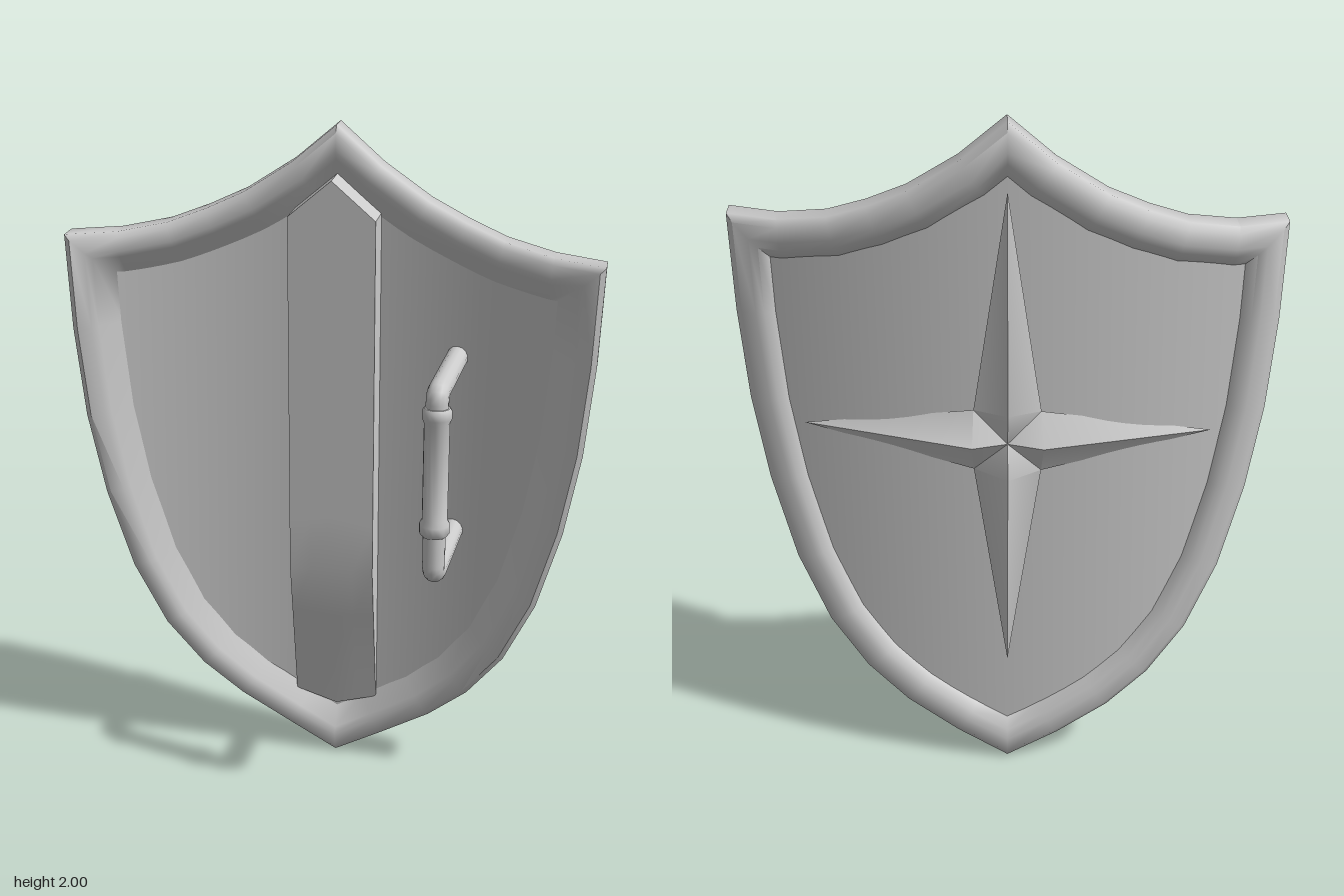
import * as THREE from 'three';
import { toCreasedNormals } from 'three/addons/utils/BufferGeometryUtils.js';

const material = new THREE.MeshStandardMaterial({ color: 0xcccccc, side: THREE.DoubleSide });

// Depth of the curved shield at a given x (bowed to the back, slightly twisted)
const bend = (x) => -0.168 + 0.28 * x * x + 0.062 * x;

// Left half of the outline from top peak to bottom point
const half = [
  [0, 2], [0.13, 1.89], [0.27, 1.8], [0.38, 1.75], [0.49, 1.71], [0.63, 1.685], [0.773, 1.682],
  [0.762, 1.4], [0.737, 1.13], [0.692, 0.88], [0.622, 0.63], [0.53, 0.43], [0.42, 0.285],
  [0.3, 0.18], [0.15, 0.085], [0, 0],
];
// Counter-clockwise seen from the front
const outline = [
  ...half.map(([x, y]) => new THREE.Vector2(-x, y)),
  ...half.slice(1, -1).reverse().map(([x, y]) => new THREE.Vector2(x, y)),
];

// Moves the outline inward by d with mitred corners
function inset(d) {
  const n = outline.length;
  return outline.map((p, i) => {
    const a = p.clone().sub(outline[(i + n - 1) % n]).normalize();
    const b = outline[(i + 1) % n].clone().sub(p).normalize();
    const na = new THREE.Vector2(-a.y, a.x);
    const m = na.clone().add(new THREE.Vector2(-b.y, b.x)).normalize();
    return p.clone().addScaledVector(m, d / m.dot(na));
  });
}

function surface(positions, index, crease) {
  const g = new THREE.BufferGeometry();
  g.setAttribute('position', new THREE.Float32BufferAttribute(positions, 3));
  g.setIndex(index);
  return toCreasedNormals(g, crease);
}

// Rounded frame swept around the outline: section is [inset, depth]
function rimGeometry() {
  const section = [
    [0, -0.035], [0, 0.035], [0.016, 0.052], [0.055, 0.055], [0.073, 0.045],
    [0.13, 0.005], [0.115, -0.022], [0.085, -0.045], [0.06, -0.054], [0.018, -0.052],
  ];
  const pos = [], idx = [], n = outline.length, m = section.length;
  for (const [d, z] of section) {
    for (const p of inset(d)) pos.push(p.x, p.y, bend(p.x) + z);
  }
  for (let j = 0; j < m; j++) {
    for (let i = 0; i < n; i++) {
      const i2 = (i + 1) % n, j2 = (j + 1) % m;
      const a = j * n + i, b = j * n + i2, c = j2 * n + i2, e = j2 * n + i;
      idx.push(a, b, c, a, c, e);
    }
  }
  return surface(pos, idx, 0.85);
}

// Curved sheet filling the frame, built from vertical columns
function plateGeometry(offset, facing) {
  const left = inset(0.11).slice(0, half.length);
  const corner = 6;
  const heightAt = (pts, x) => {
    for (let i = 1; i < pts.length; i++) {
      const a = pts[i - 1], b = pts[i];
      if (x <= b.x + 1e-6) return a.y + (b.y - a.y) * (x - a.x) / (b.x - a.x);
    }
    return pts[pts.length - 1].y;
  };
  const top = left.slice(0, corner + 1).reverse();
  const bottom = left.slice(corner);
  const pos = [], idx = [], cols = 36;
  for (let i = 0; i <= cols; i++) {
    const x = -left[corner].x * Math.sin((i / cols - 0.5) * Math.PI);
    const k = Math.max(-Math.abs(x), left[corner].x);
    pos.push(x, heightAt(bottom, k), bend(x) + offset, x, heightAt(top, k), bend(x) + offset);
    if (i < cols) {
      const a = 2 * i;
      if (facing > 0) idx.push(a, a + 2, a + 3, a, a + 3, a + 1);
      else idx.push(a, a + 3, a + 2, a, a + 1, a + 3);
    }
  }
  return surface(pos, idx, 0.8);
}

// Raised centre rib: pointed top, front face sinking into the plate at the bottom
function ribGeometry() {
  const g = new THREE.BoxGeometry(0.255, 1, 1, 4, 10, 1);
  const p = g.attributes.position;
  for (let i = 0; i < p.count; i++) {
    const x = p.getX(i), t = p.getY(i) + 0.5, front = p.getZ(i) > 0;
    const low = 0.2 - 0.3 * (0.1275 - Math.abs(x));
    const y = THREE.MathUtils.lerp(low, 1.86 - 0.85 * Math.abs(x), t);
    const rise = Math.min(1, Math.max(0, t / 0.3));
    const z = front ? THREE.MathUtils.lerp(-0.145, -0.045, rise) + 0.055 * x : -0.175;
    p.setXYZ(i, x, y, z);
  }
  return toCreasedNormals(g, 0.6);
}

// Four-pointed star with ridged arms and a dimpled middle
function starGeometry() {
  const cy = 1.08, pos = [0, cy, -0.225], idx = [];
  const lift = (x) => bend(x) - 0.034;
  for (let k = 0; k < 4; k++) {
    const a = k * Math.PI / 2, c = Math.round(Math.cos(a)), s = Math.round(Math.sin(a));
    const reach = s ? 0.73 : 0.58;
    pos.push(c * reach, cy + s * reach, lift(c * reach));
    pos.push(c * 0.1, cy + s * 0.1, -0.258 + 0.04 * c * 0.1);
    const x = (c - s) * 0.095, y = (s + c) * 0.092;
    pos.push(x, cy + y, lift(x));
    const tip = 1 + 3 * k, ridge = tip + 1, L = tip + 2, R = 3 + 3 * ((k + 3) % 4);
    idx.push(tip, ridge, L, tip, R, ridge, ridge, 0, L, ridge, R, 0);
  }
  return surface(pos, idx, 0.55);
}

// Bracket-shaped handle with a thicker grip and collars
function buildHandle(add) {
  const V = (x, y, z) => new THREE.Vector3(x, y, z);
  const path = new THREE.CurvePath();
  const top = 1.35, low = 0.81, z = 0.225, r = 0.03;
  path.add(new THREE.LineCurve3(V(0.36, top, -0.12), V(0.344, top, z - r)));
  path.add(new THREE.QuadraticBezierCurve3(V(0.344, top, z - r), V(0.342, top, z), V(0.342, top - r, z)));
  path.add(new THREE.LineCurve3(V(0.342, top - r, z), V(0.342, low + r, z)));
  path.add(new THREE.QuadraticBezierCurve3(V(0.342, low + r, z), V(0.342, low, z), V(0.344, low, z - r)));
  path.add(new THREE.LineCurve3(V(0.344, low, z - r), V(0.36, low, -0.12)));
  add('handleBracket', new THREE.TubeGeometry(path, 120, 0.032, 14, false));
  const profile = [
    [0, 0.93], [0.036, 0.93], [0.043, 0.94], [0.043, 0.965], [0.036, 0.98],
    [0.036, 1.265], [0.042, 1.28], [0.042, 1.3], [0.036, 1.31], [0, 1.31],
  ].map(([x, y]) => new THREE.Vector2(x, y));
  add('handleGrip', toCreasedNormals(new THREE.LatheGeometry(profile, 16), 0.9)).position.set(0.342, 0, z);
}

export function createModel() {
  const shield = new THREE.Group();
  shield.name = 'shield';
  const add = (name, geometry) => {
    const mesh = new THREE.Mesh(geometry, material);
    mesh.name = name;
    shield.add(mesh);
    return mesh;
  };
  add('rim', rimGeometry());
  add('frontPlate', plateGeometry(0.008, 1));
  add('backPlate', plateGeometry(-0.022, -1));
  add('centreRib', ribGeometry());
  add('starEmblem', starGeometry());
  buildHandle(add);
  return shield;
}
